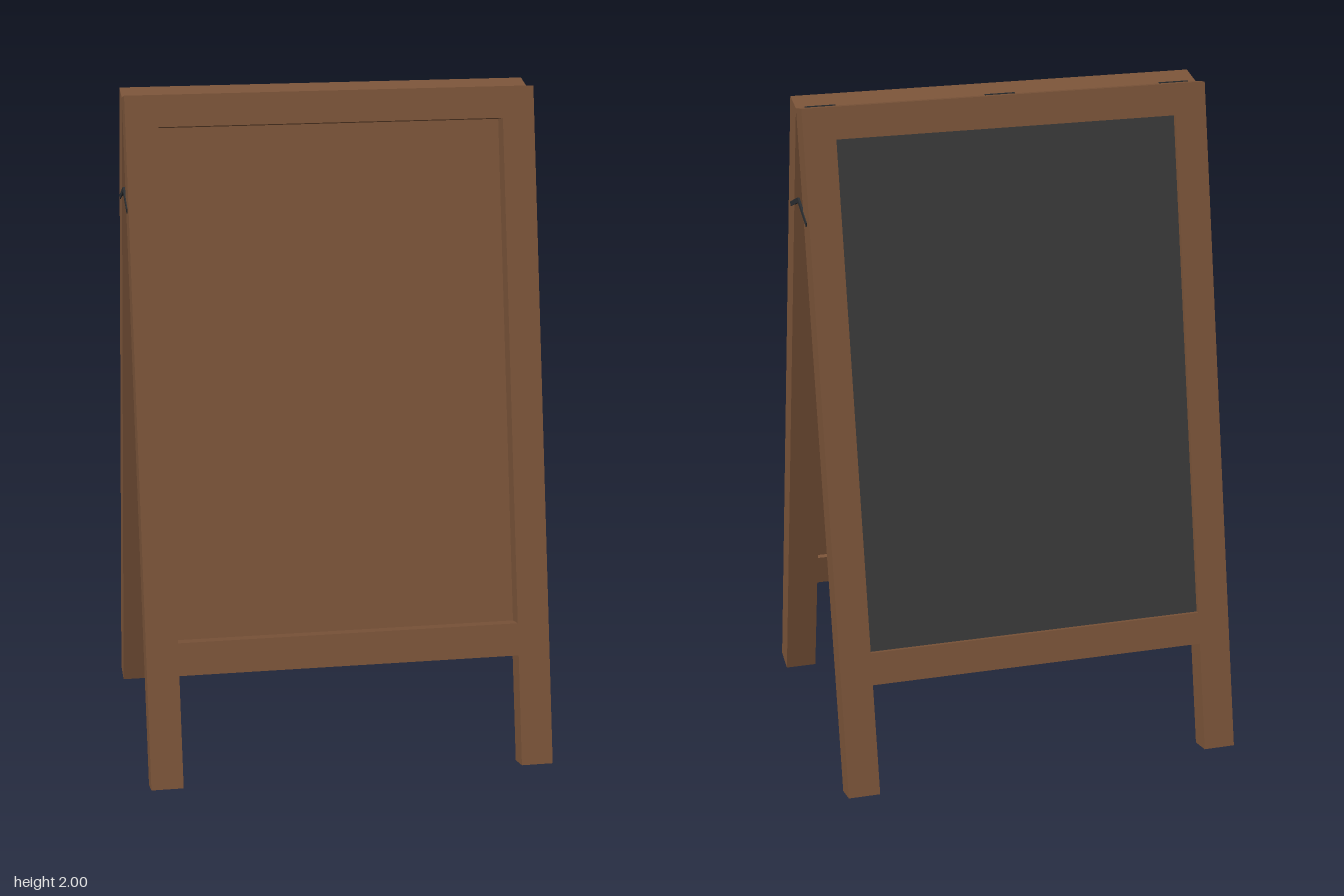
import * as THREE from 'three';

const TILT = 0.211, APEX = 1.983; // lean of each panel, height of the hinge line
const LENGTH = 2.027, DEPTH = 0.08, HALF = 0.605, INNER = 0.51;
const HOLE_TOP = -0.093, HOLE_BOTTOM = -1.597, RAIL_BOTTOM = -1.694;

const wood = new THREE.MeshStandardMaterial({ color: 0x7b5439 });
wood.name = 'brown wood';
const slate = new THREE.MeshStandardMaterial({ color: 0x3a3a3a });
slate.name = 'dark slate';
const iron = new THREE.MeshStandardMaterial({ color: 0x2b2e31 });
iron.name = 'dark iron';

function box(name, size, pos, material) {
  const mesh = new THREE.Mesh(new THREE.BoxGeometry(...size), material);
  mesh.position.set(...pos);
  mesh.name = name;
  return mesh;
}

// Frame outline with two legs and a window, extruded outwards
function frameGeometry() {
  const outline = [
    [-HALF, 0], [-HALF, -LENGTH], [-INNER, -LENGTH], [-INNER, RAIL_BOTTOM],
    [INNER, RAIL_BOTTOM], [INNER, -LENGTH], [HALF, -LENGTH], [HALF, 0],
  ];
  const hole = [
    [-INNER, HOLE_TOP], [INNER, HOLE_TOP], [INNER, HOLE_BOTTOM], [-INNER, HOLE_BOTTOM],
  ];
  const toPoints = (list) => list.map(([x, y]) => new THREE.Vector2(x, y));
  const shape = new THREE.Shape(toPoints(outline));
  shape.holes.push(new THREE.Path(toPoints(hole)));
  return new THREE.ExtrudeGeometry(shape, { depth: DEPTH, bevelEnabled: false });
}

// One leaning panel: local y runs up the slope, local z points outwards
function panel(name, geometry, hasSlate) {
  const group = new THREE.Group();
  group.name = name;
  const frame = new THREE.Mesh(geometry, wood);
  frame.name = 'frame';
  const w = INNER * 2, h = HOLE_TOP - HOLE_BOTTOM, mid = (HOLE_TOP + HOLE_BOTTOM) / 2;
  group.add(frame, box('backingBoard', [w, h, 0.002], [0, mid, 0.017], wood));
  if (hasSlate) group.add(box('chalkboard', [w, h, 0.044], [0, mid, 0.041], slate));
  group.position.y = APEX;
  group.rotation.x = -TILT;
  return group;
}

export function createModel() {
  const model = new THREE.Group();
  model.name = 'sandwichBoard';
  const geometry = frameGeometry();

  const front = panel('frontPanel', geometry, false);
  const back = new THREE.Group();
  back.name = 'backSide';
  back.rotation.y = Math.PI;
  back.add(panel('backPanel', geometry, true));
  model.add(front, back);

  // Hinge leaves tucked between the two top rails
  for (const x of [-0.535, 0, 0.535]) {
    model.add(box('hinge', [0.09, 0.03, 0.004], [x, APEX - 0.012, 0], iron));
  }

  // Folding stays on both outer sides, each a pair of bars meeting in the middle
  const reach = 0.11, drop = 0.042;
  for (const x of [-HALF, HALF]) {
    for (const s of [-1, 1]) {
      const bar = box('stayBar', [0.006, 0.014, Math.hypot(reach, drop) + 0.004],
        [x, 1.711 - drop / 2, s * reach / 2], iron);
      bar.rotation.x = s * Math.atan2(drop, reach);
      model.add(bar);
    }
  }

  // Cord hanging inside, behind the back panel
  model.add(box('cord', [0.01, 0.34, 0.005], [0, 1.46, -0.079], iron));
  return model;
}
